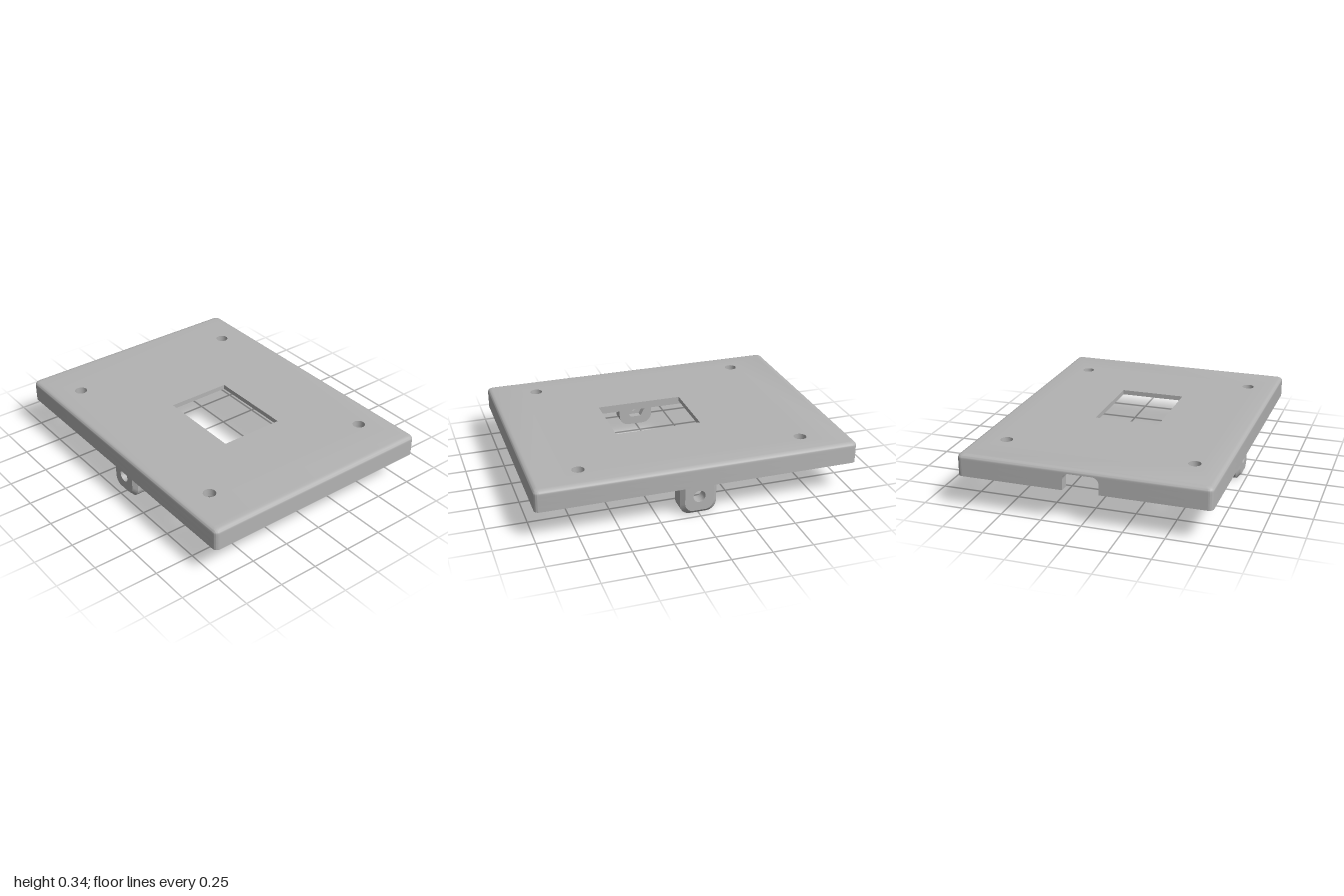
import * as THREE from 'three';
import { toCreasedNormals } from 'three/addons/utils/BufferGeometryUtils.js';

const W = 0.77, D = 1, R = 0.03;          // half width, half depth, corner radius
const BOTTOM = 0.21, FLOOR = 0.315, TOP = 0.345;
const HOLE_X = 0.585, HOLE_Z = 0.7;
const corners = [[1, 1], [1, -1], [-1, -1], [-1, 1]];

const grey = new THREE.MeshStandardMaterial({ color: 0xb3b3b3 });
grey.name = 'grey';
const greyOpen = grey.clone();
greyOpen.side = THREE.DoubleSide;

function circle(x, y, r) {
  return new THREE.Path().absarc(x, y, r, 0, Math.PI * 2, true);
}

function hexagon(x, y, r) {
  const points = [];
  for (let i = 0; i < 6; i++) {
    const a = -i * Math.PI / 3;
    points.push(new THREE.Vector2(x + r * Math.cos(a), y + r * Math.sin(a)));
  }
  return new THREE.Path(points);
}

function rect(x0, y0, x1, y1) {
  return new THREE.Path([[x0, y0], [x0, y1], [x1, y1], [x1, y0]].map(p => new THREE.Vector2(...p)));
}

// Rounded outer edge, from the back left round to the back right corner
function outerEdge(shape) {
  shape.lineTo(-W + R, D);
  shape.absarc(-W + R, D - R, R, Math.PI / 2, Math.PI, false);
  shape.absarc(-W + R, -D + R, R, Math.PI, Math.PI * 1.5, false);
  shape.absarc(W - R, -D + R, R, Math.PI * 1.5, Math.PI * 2, false);
  shape.absarc(W - R, D - R, R, 0, Math.PI / 2, false);
  return shape;
}

// Frame outline: central recess opening to the back through the notch
function frameShape(holes) {
  const s = new THREE.Shape();
  s.moveTo(0.11, D);
  for (const [x, y] of [[0.11, 0.94], [0.39, 0.94], [0.39, -0.94], [-0.39, -0.94], [-0.39, 0.94], [-0.11, 0.94], [-0.11, D]]) s.lineTo(x, y);
  outerEdge(s);
  s.holes = holes;
  return s;
}

function extrude(shape, depth, steps = 1) {
  return new THREE.ExtrudeGeometry(shape, { depth, steps, bevelEnabled: false, curveSegments: 10 });
}

// Horizontal slab; shape y points to the back
function slab(shape, y0, y1, steps) {
  return extrude(shape, y1 - y0, steps).rotateX(-Math.PI / 2).translate(0, y0, 0);
}

function add(parent, name, geometry, material = grey) {
  const mesh = new THREE.Mesh(toCreasedNormals(geometry, 0.6), material);
  mesh.name = name;
  parent.add(mesh);
  return mesh;
}

function moveVertices(geometry, rule) {
  const p = geometry.attributes.position, v = new THREE.Vector3();
  for (let i = 0; i < p.count; i++) {
    rule(v.fromBufferAttribute(p, i));
    p.setXYZ(i, v.x, v.y, v.z);
  }
  return geometry;
}

function buildPlate() {
  const plate = new THREE.Group();
  plate.name = 'plate';
  const screwHoles = () => corners.map(([a, b]) => circle(a * HOLE_X, b * HOLE_Z, 0.039));

  // Frame in layers: shallow pockets, nut recesses, screw holes
  const pockets = corners.map(([a, b]) => rect(a * HOLE_X - 0.145, b * 0.6 - 0.28, a * HOLE_X + 0.145, b * 0.6 + 0.28));
  const nuts = corners.map(([a, b]) => hexagon(a * HOLE_X, b * HOLE_Z, 0.068));
  add(plate, 'pocketFrame', slab(frameShape(pockets), BOTTOM, 0.25));
  add(plate, 'nutFrame', slab(frameShape(nuts), 0.25, 0.295));
  add(plate, 'screwFrame', slab(frameShape(screwHoles()), 0.295, FLOOR));

  // Sloping pocket walls
  for (const [a, b] of corners) {
    const wall = new THREE.CylinderGeometry(0.9 * Math.SQRT1_2, Math.SQRT1_2, 0.04, 4, 1, true);
    wall.rotateY(Math.PI / 4).scale(0.29, 1, 0.56).translate(a * HOLE_X, 0.23, b * 0.6);
    add(plate, 'pocketWall', wall, greyOpen);
  }

  // Top panel with window, screw holes and a rounded upper edge
  const top = new THREE.Shape();
  top.moveTo(W - R, D);
  outerEdge(top);
  top.holes = [rect(-0.21, -0.365, 0.205, 0.185), ...screwHoles()];
  const panel = moveVertices(slab(top, FLOOR, TOP, 6), v => {
    if (Math.abs(v.x) < W - 0.035 && Math.abs(v.z) < D - 0.035) return;
    const t = Math.min(1, Math.max(0, (v.y - (TOP - 0.025)) / 0.025));
    const inset = 0.025 * (1 - Math.sqrt(1 - t * t));
    v.x *= (W - inset) / W;
    v.z *= (D - inset) / D;
  });
  add(plate, 'topPanel', panel);

  // Rounded upper corners of the cable notch
  for (const s of [1, -1]) {
    const f = new THREE.Shape();
    f.moveTo(s * 0.11, FLOOR);
    f.lineTo(s * 0.11, FLOOR - 0.04);
    f.absarc(s * 0.07, FLOOR - 0.04, 0.04, s > 0 ? 0 : Math.PI, Math.PI / 2, s < 0);
    add(plate, 'notchFillet', extrude(f, 0.06).translate(0, 0, -D));
  }
  return plate;
}

function earShape(hole) {
  const s = new THREE.Shape(), r = 0.065, w = 0.115;
  s.moveTo(w, BOTTOM);
  s.lineTo(-w, BOTTOM);
  s.absarc(-w + r, r, r, Math.PI, Math.PI * 1.5, false);
  s.absarc(w - r, r, r, Math.PI * 1.5, Math.PI * 2, false);
  s.holes = [hole];
  return s;
}

// Mounting ear on the +x side: nut recess inside, bevelled rim outside
function buildEar() {
  const ear = new THREE.Group();
  const layer = (hole, x0, x1) => extrude(earShape(hole), x1 - x0).rotateY(Math.PI / 2).translate(x0, 0, 0);
  const bolt = () => circle(0, 0.118, 0.038);
  add(ear, 'earInner', layer(hexagon(0, 0.118, 0.072), 0.605, 0.65));
  add(ear, 'earMiddle', layer(bolt(), 0.65, 0.695));
  add(ear, 'earOuter', moveVertices(layer(bolt(), 0.695, 0.72), v => {
    if (v.x < 0.71 || Math.hypot(v.z, v.y - 0.118) < 0.05) return;
    v.z *= 0.09 / 0.115;
    v.y = BOTTOM - (BOTTOM - v.y) * 0.185 / 0.21;
  }));
  const brace = new THREE.Shape([[0.58, 0.21], [0.605, 0.185], [0.605, 0.21]].map(p => new THREE.Vector2(...p)));
  add(ear, 'earBrace', extrude(brace, 0.23).translate(0, 0, -0.115));
  return ear;
}

export function createModel() {
  const model = new THREE.Group();
  model.name = 'mountingCover';
  model.add(buildPlate());
  for (const side of ['left', 'right']) {
    const ear = buildEar();
    ear.name = side + 'Ear';
    if (side === 'right') ear.rotation.y = Math.PI;
    model.add(ear);
  }
  return model;
}
